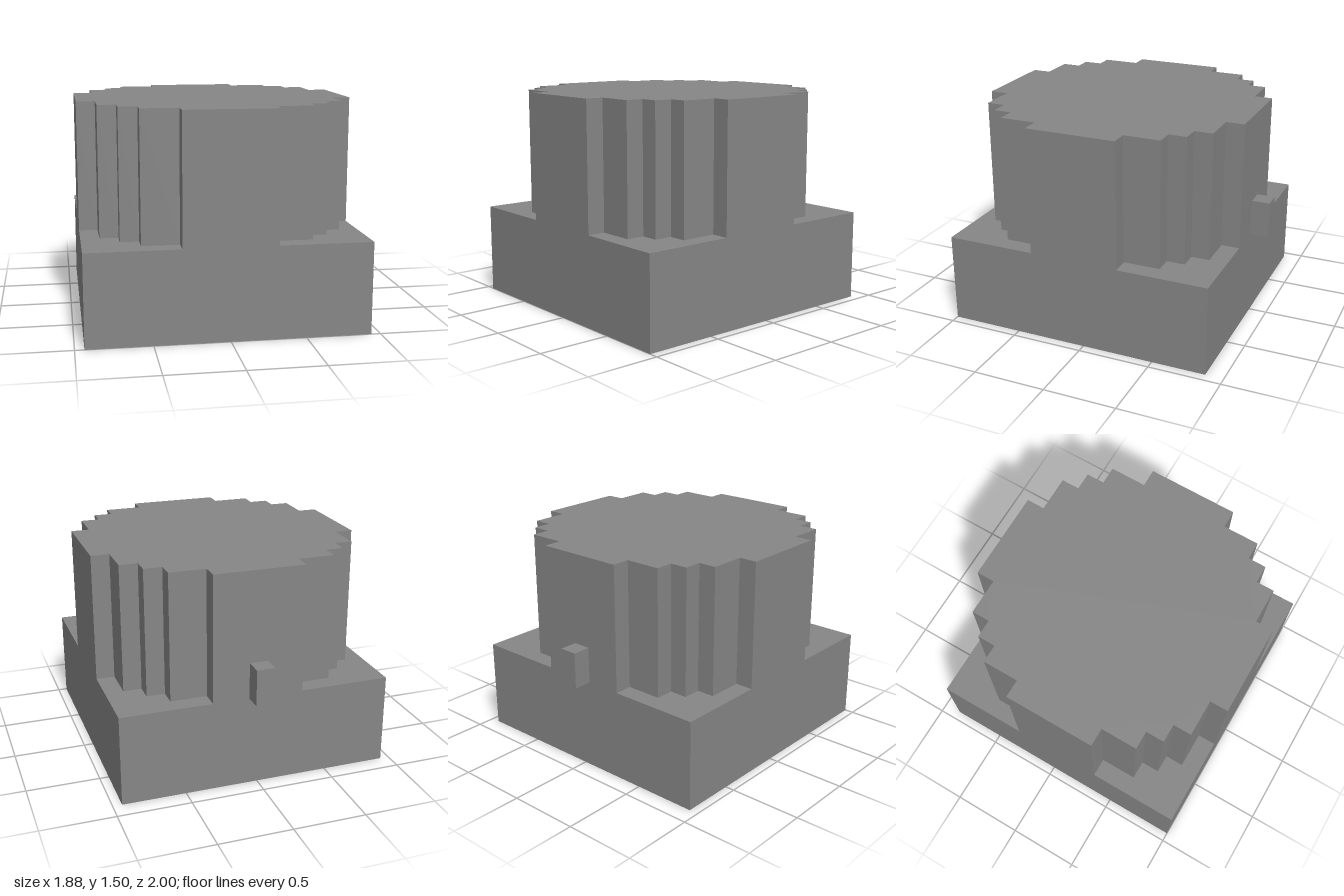
import * as THREE from 'three';

const U = 0.125; // one grid step
const CENTRE_Z = U / 2;

export function createModel() {
  const group = new THREE.Group();
  const grey = new THREE.MeshStandardMaterial({ color: 0x868686 });
  grey.name = 'stone grey';

  const add = (name, geometry, x, y, z) => {
    const mesh = new THREE.Mesh(geometry, grey);
    mesh.name = name;
    mesh.position.set(x, y, z);
    group.add(mesh);
  };

  // Square base
  add('base', new THREE.BoxGeometry(15 * U, 5 * U, 15 * U), 0, 2.5 * U, CENTRE_Z);

  // Stepped round drum: one quarter outline, turned four times
  const quarter = [
    [7.5, 2.5], [6.5, 2.5], [6.5, 4.5], [5.5, 4.5], [5.5, 5.5],
    [4.5, 5.5], [4.5, 6.5], [2.5, 6.5], [2.5, 7.5],
  ];
  const outline = [];
  for (let turn = 0; turn < 4; turn++) {
    for (const [a, b] of quarter) {
      const [x, y] = [[a, b], [-b, a], [-a, -b], [b, -a]][turn];
      outline.push(new THREE.Vector2(x * U, y * U));
    }
  }
  const drum = new THREE.ExtrudeGeometry(new THREE.Shape(outline), { depth: 7 * U, bevelEnabled: false });
  drum.rotateX(-Math.PI / 2);
  add('drum', drum, 0, 5 * U, CENTRE_Z);

  // Small block on the back
  add('backKnob', new THREE.BoxGeometry(U, 2 * U, U), 0, 6 * U, -7.5 * U);

  return group;
}
